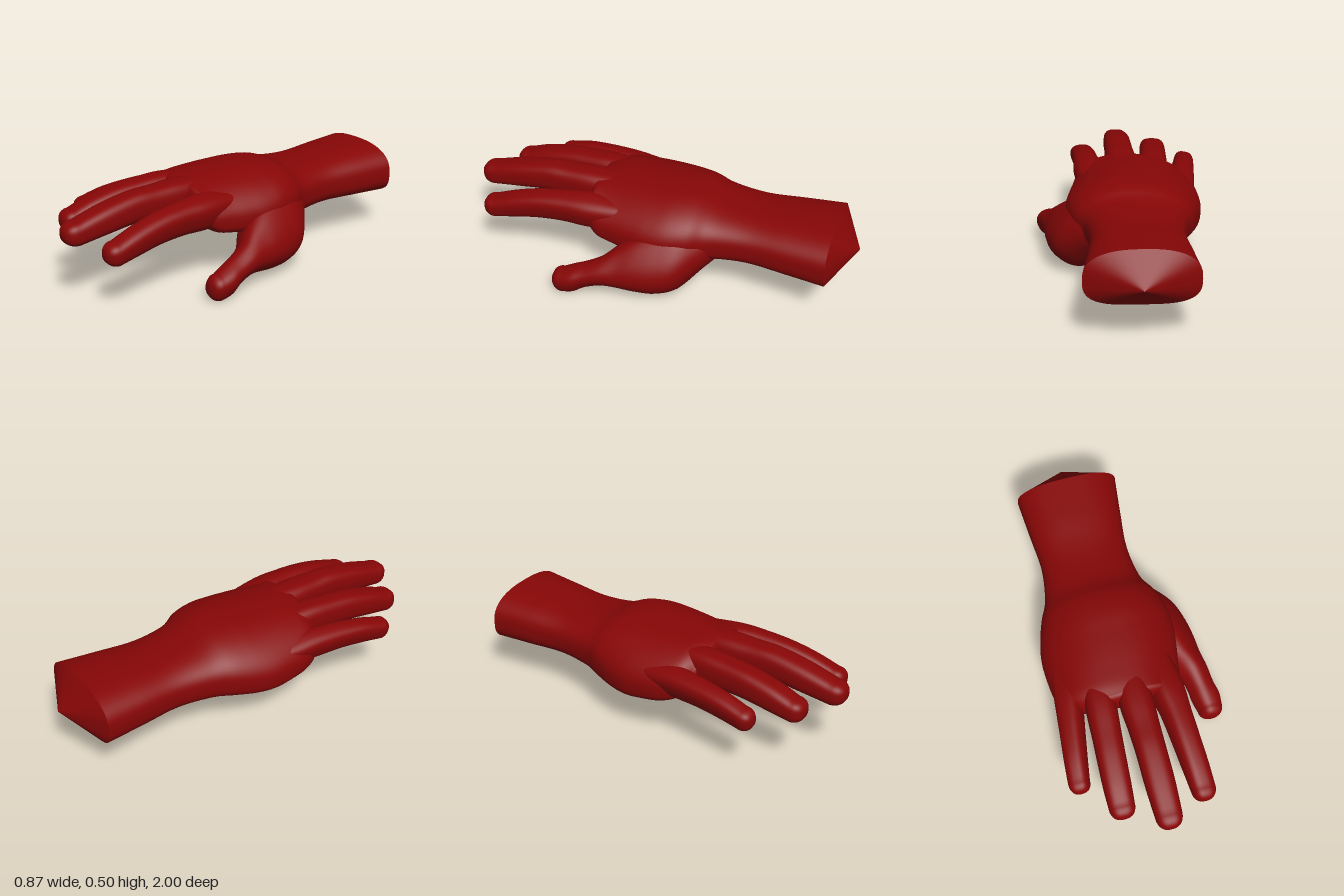
import * as THREE from 'three';

const material = new THREE.MeshStandardMaterial({ color: 0x870606 });

// Smooth interpolation of section rows [x, y, z, halfWidth, halfHeight, arch, roll]
function resample(rows, steps) {
  const out = [];
  const at = (i) => rows[Math.min(rows.length - 1, Math.max(0, i))];
  for (let i = 0; i < rows.length - 1; i++) {
    for (let s = 0; s < steps; s++) {
      const t = s / steps;
      out.push(rows[i].map((p1, k) => {
        const p0 = at(i - 1)[k], p2 = at(i + 1)[k], p3 = at(i + 2)[k];
        return p1 + 0.5 * t * (p2 - p0 + t * (2 * p0 - 5 * p1 + 4 * p2 - p3 + t * (3 * (p1 - p2) + p3 - p0)));
      }));
    }
  }
  out.push(at(rows.length - 1));
  return out;
}

// Loft rounded-box sections along +z; tip adds a blunt rounded end of that length
function loft(name, rows, { tip = 0, steps = 5, power = 2.5, sides = 40 } = {}) {
  const rings = resample(rows.map((r) => [...r, 0, 0].slice(0, 7)), steps);
  const last = rings[rings.length - 1];
  if (tip) {
    for (let k = 1; k <= 8; k++) {
      const a = (k / 8) * Math.PI / 2, c = Math.max(0.002, Math.cos(a) ** 0.75);
      rings.push([last[0], last[1], last[2] + tip * Math.sin(a), last[3] * c, last[4] * c, last[5] * c, last[6]]);
    }
  }
  const pos = [], index = [];
  const shape = (v) => Math.sign(v) * Math.abs(v) ** (2 / power);
  rings.forEach(([x, y, z, rx, ry, arch, roll], i) => {
    for (let j = 0; j < sides; j++) {
      const a = (j / sides) * Math.PI * 2;
      const u = shape(Math.cos(a));
      const px = u * rx, py = shape(Math.sin(a)) * ry - arch * u * u;
      const c = Math.cos(roll), s = Math.sin(roll);
      pos.push(x + px * c - py * s, y + px * s + py * c, z);
      if (i < rings.length - 1) {
        const p = i * sides + j, q = i * sides + (j + 1) % sides;
        index.push(p, q, p + sides, q, q + sides, p + sides);
      }
    }
  });
  const geometry = new THREE.BufferGeometry();
  geometry.setAttribute('position', new THREE.Float32BufferAttribute(pos, 3));
  geometry.setIndex(index);
  geometry.computeVertexNormals();
  const mesh = new THREE.Mesh(geometry, material);
  mesh.name = name;
  return mesh;
}

export function createModel() {
  const hand = new THREE.Group();
  hand.name = 'hand';

  // Forearm, wrist and arched palm
  const wristEnd = [-0.05, 0.324, -0.88, 0.265, 0.133, 0.015];
  hand.add(loft('forearmAndPalm', [
    wristEnd,
    [-0.055, 0.322, -0.68, 0.245, 0.124, 0.015],
    [-0.058, 0.32, -0.48, 0.228, 0.115, 0.015],
    [-0.06, 0.326, -0.3, 0.252, 0.124, 0.025],
    [-0.055, 0.35, -0.2, 0.3, 0.135, 0.05, 0.02],
    [-0.058, 0.362, -0.1, 0.332, 0.137, 0.07, 0.04],
    [-0.065, 0.366, 0, 0.345, 0.133, 0.08, 0.04],
    [-0.07, 0.37, 0.1, 0.338, 0.127, 0.08, 0.03],
    [-0.073, 0.374, 0.2, 0.323, 0.118, 0.075, 0.02],
    [-0.062, 0.379, 0.27, 0.3, 0.108, 0.065],
    [-0.035, 0.383, 0.32, 0.25, 0.095, 0.04],
  ], { tip: 0.035, power: 2.8, sides: 64 }));

  // Pointed closing of the cut forearm
  hand.add(loft('forearmEnd', [[-0.05, 0.312, -1, 0.001, 0.001], wristEnd],
    { steps: 1, power: 2.8, sides: 64 }));

  // Fingers, from the outer side to the thumb side
  hand.add(loft('littleFinger', [
    [-0.31, 0.345, 0, 0.05, 0.04],
    [-0.318, 0.345, 0.14, 0.066, 0.06, 0, 0.3],
    [-0.33, 0.345, 0.27, 0.066, 0.07, 0, 0.3],
    [-0.35, 0.343, 0.42, 0.06, 0.066, 0, 0.3],
    [-0.368, 0.331, 0.55, 0.056, 0.062, 0, 0.25],
    [-0.381, 0.31, 0.66, 0.052, 0.054, 0, 0.2],
  ], { tip: 0.053, power: 2.7 }));
  hand.add(loft('ringFinger', [
    [-0.175, 0.385, 0.1, 0.06, 0.065],
    [-0.185, 0.389, 0.32, 0.076, 0.084],
    [-0.195, 0.388, 0.48, 0.073, 0.077],
    [-0.203, 0.38, 0.6, 0.071, 0.073],
    [-0.21, 0.357, 0.73, 0.069, 0.067],
    [-0.214, 0.332, 0.83, 0.064, 0.056],
  ], { tip: 0.06, power: 2.8 }));
  hand.add(loft('middleFinger', [
    [-0.015, 0.4, 0.1, 0.065, 0.07],
    [-0.015, 0.404, 0.34, 0.083, 0.085],
    [-0.013, 0.408, 0.5, 0.077, 0.078],
    [-0.012, 0.408, 0.62, 0.074, 0.075],
    [-0.012, 0.385, 0.78, 0.073, 0.069],
    [-0.012, 0.354, 0.93, 0.066, 0.058],
  ], { tip: 0.068, power: 2.8 }));
  hand.add(loft('indexFinger', [
    [0.13, 0.365, 0.05, 0.06, 0.055],
    [0.148, 0.365, 0.3, 0.082, 0.082, 0, -0.25],
    [0.162, 0.364, 0.46, 0.071, 0.077, 0, -0.25],
    [0.172, 0.352, 0.6, 0.066, 0.072, 0, -0.22],
    [0.182, 0.326, 0.73, 0.063, 0.066, 0, -0.2],
    [0.19, 0.297, 0.84, 0.059, 0.056, 0, -0.15],
  ], { tip: 0.06, power: 2.7 }));

  // Thumb with its fleshy base, slanting out and down from the palm
  hand.add(loft('thumb', [
    [0.03, 0.31, -0.38, 0.07, 0.06, 0, -0.9],
    [0.095, 0.275, -0.27, 0.135, 0.105, 0, -0.9],
    [0.165, 0.232, -0.17, 0.185, 0.133, 0, -0.9],
    [0.201, 0.206, -0.07, 0.19, 0.141, 0, -0.9],
    [0.236, 0.187, 0.03, 0.165, 0.132, 0, -0.9],
    [0.28, 0.167, 0.12, 0.122, 0.105, 0, -0.9],
    [0.33, 0.145, 0.2, 0.079, 0.077, 0, -0.75],
    [0.353, 0.116, 0.28, 0.067, 0.067, 0, -0.6],
    [0.366, 0.088, 0.34, 0.07, 0.072, 0, -0.45],
    [0.374, 0.069, 0.4, 0.061, 0.066, 0, -0.35],
  ], { tip: 0.052, power: 2.4 }));

  return hand;
}
